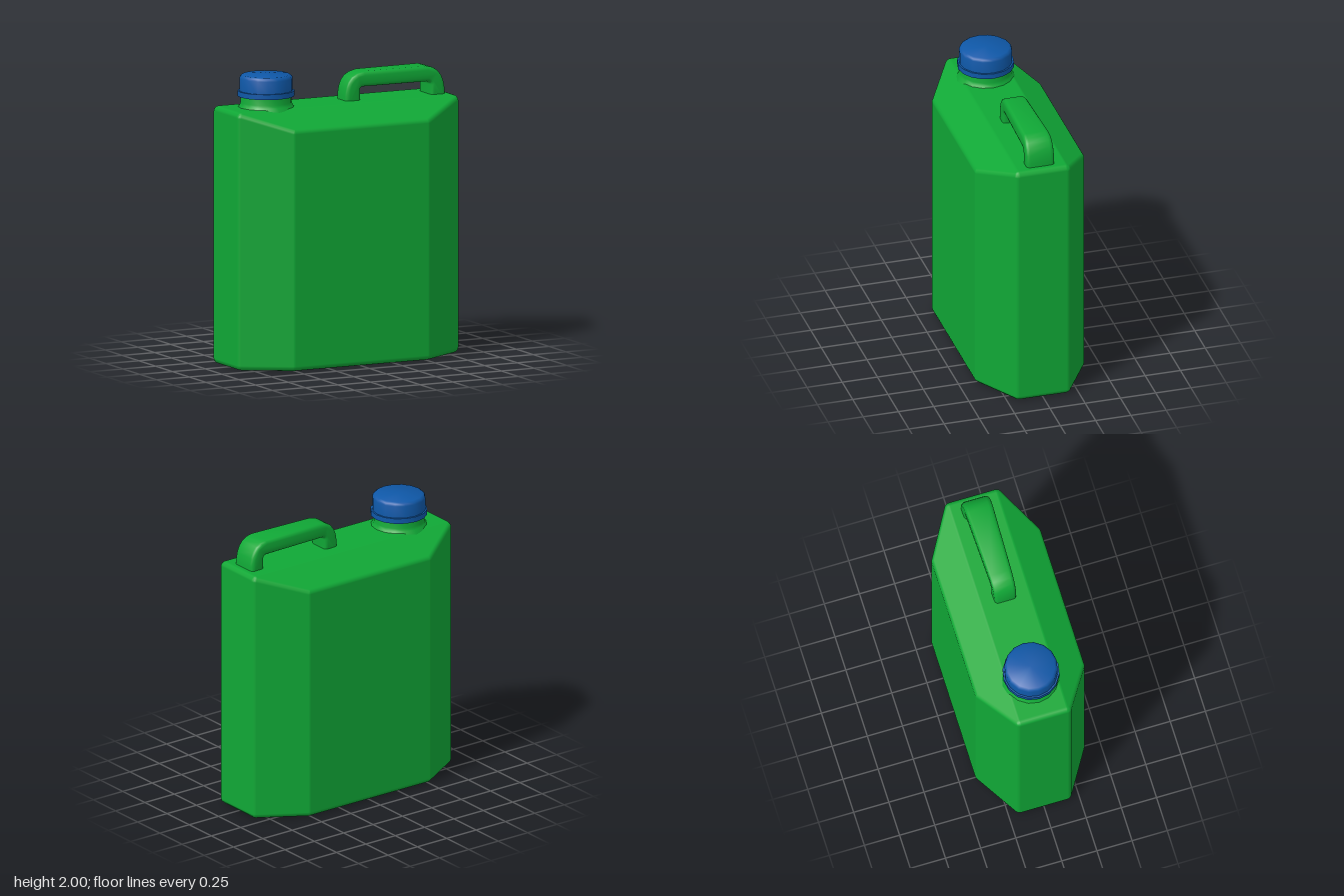
import * as THREE from 'three';
import { ConvexGeometry } from 'three/addons/geometries/ConvexGeometry.js';
import { toCreasedNormals } from 'three/addons/utils/BufferGeometryUtils.js';

const V = (x, y, z) => new THREE.Vector3(x, y, z);
const green = new THREE.MeshStandardMaterial({ color: 0x10a836 });
const blue = new THREE.MeshStandardMaterial({ color: 0x0f58a8 });

function part(name, geometry, material, x = 0) {
  const mesh = new THREE.Mesh(geometry, material);
  mesh.name = name;
  mesh.position.x = x;
  return mesh;
}

// Convex solid bounded by planes, with every edge and corner rounded by r
function roundedSolid(planes, r) {
  const inner = planes.map((p) => ({ n: p.n, d: p.d - r }));
  const points = [], normals = [];
  for (let i = 0; i < inner.length; i++)
    for (let j = i + 1; j < inner.length; j++)
      for (let k = j + 1; k < inner.length; k++) {
        const [a, b, c] = [inner[i], inner[j], inner[k]];
        const bc = b.n.clone().cross(c.n), det = a.n.dot(bc);
        if (Math.abs(det) < 1e-4) continue;
        const corner = bc.multiplyScalar(a.d)
          .addScaledVector(c.n.clone().cross(a.n), b.d)
          .addScaledVector(a.n.clone().cross(b.n), c.d)
          .divideScalar(det);
        if (inner.some((p) => p.n.dot(corner) > p.d + 1e-6)) continue;
        // Patch of directions between the three face normals
        const steps = 3;
        for (let u = 0; u <= steps; u++)
          for (let v = 0; v <= steps - u; v++) {
            const n = a.n.clone().multiplyScalar(u)
              .addScaledVector(b.n, v)
              .addScaledVector(c.n, steps - u - v).normalize();
            points.push(corner.clone().addScaledVector(n, r));
            normals.push(n);
          }
      }
  const geometry = new ConvexGeometry(points);
  const pos = geometry.attributes.position, nor = geometry.attributes.normal;
  const p = V(0, 0, 0);
  for (let i = 0; i < pos.count; i++) {
    p.fromBufferAttribute(pos, i);
    let best = 0, bestD = Infinity;
    points.forEach((q, k) => {
      const d = q.distanceToSquared(p);
      if (d < bestD) { bestD = d; best = k; }
    });
    nor.setXYZ(i, normals[best].x, normals[best].y, normals[best].z);
  }
  return geometry;
}

function bodyGeometry() {
  const through = (n, p) => ({ n: n.normalize(), d: n.dot(p) });
  const planes = [
    through(V(0, -1, 0), V(0, 0.005, 0)),
    through(V(0, 1, 0), V(0, 1.78, 0)),
  ];
  for (const s of [-1, 1]) {
    planes.push(through(V(s, 0, 0), V(s * 0.845, 0, 0)));
    planes.push(through(V(0, 0, s), V(0, 0, s * 0.388)));
    planes.push(through(V(0, 0.873, s * 0.487), V(0, 1.78, s * 0.172))); // sloped shoulder
    for (const t of [-1, 1])
      planes.push(through(V(s * 0.52, 0, t * 0.854), V(s * 0.845, 0, t * 0.187))); // cut corner
  }
  return roundedSolid(planes, 0.035);
}

function turned(profile, sides) {
  const geometry = new THREE.LatheGeometry(profile.map(([x, y]) => new THREE.Vector2(x, y)), sides);
  return toCreasedNormals(geometry, 0.7);
}

// Arched grip, widening towards its outer end
function handleGeometry() {
  const s = new THREE.Shape();
  s.moveTo(0.04, 1.74);
  s.lineTo(0.04, 1.81);
  s.bezierCurveTo(0.05, 1.91, 0.08, 1.96, 0.18, 1.975);
  s.lineTo(0.66, 1.975);
  s.bezierCurveTo(0.74, 1.965, 0.78, 1.91, 0.79, 1.81);
  s.lineTo(0.79, 1.74);
  s.lineTo(0.68, 1.74);
  s.lineTo(0.68, 1.845);
  s.quadraticCurveTo(0.68, 1.87, 0.655, 1.87);
  s.lineTo(0.175, 1.87);
  s.quadraticCurveTo(0.15, 1.87, 0.15, 1.845);
  s.lineTo(0.15, 1.74);
  s.closePath();
  const bevel = 0.025;
  const geometry = new THREE.ExtrudeGeometry(s, {
    depth: 2 * (0.085 - bevel), curveSegments: 5, bevelEnabled: true,
    bevelSize: bevel, bevelOffset: -bevel, bevelThickness: bevel, bevelSegments: 3,
  });
  geometry.translate(0, 0, bevel - 0.085);
  const pos = geometry.attributes.position;
  for (let i = 0; i < pos.count; i++) {
    const t = (pos.getX(i) - 0.04) / 0.75;
    pos.setZ(i, pos.getZ(i) * (0.9 + 0.28 * t));
  }
  return toCreasedNormals(geometry, 0.7);
}

export function createModel() {
  const model = new THREE.Group();
  model.name = 'canister';
  const spoutX = -0.535;

  model.add(part('body', bodyGeometry(), green));
  model.add(part('handle', handleGeometry(), green));

  // Neck with a flared foot
  model.add(part('neck', turned([
    [0.21, 1.74], [0.2, 1.77], [0.182, 1.79], [0.175, 1.81], [0.175, 1.9],
  ], 16), green, spoutX));

  // Screw cap with a tamper ring
  const cap = new THREE.Group();
  cap.name = 'cap';
  cap.add(part('capRing', turned([
    [0.165, 1.853], [0.194, 1.853], [0.194, 1.89], [0.175, 1.89],
  ], 16), blue, spoutX));
  cap.add(part('capTop', turned([
    [0.182, 1.88], [0.182, 1.975], [0.177, 1.99], [0.163, 2], [0, 2],
  ], 16), blue, spoutX));
  model.add(cap);
  return model;
}
